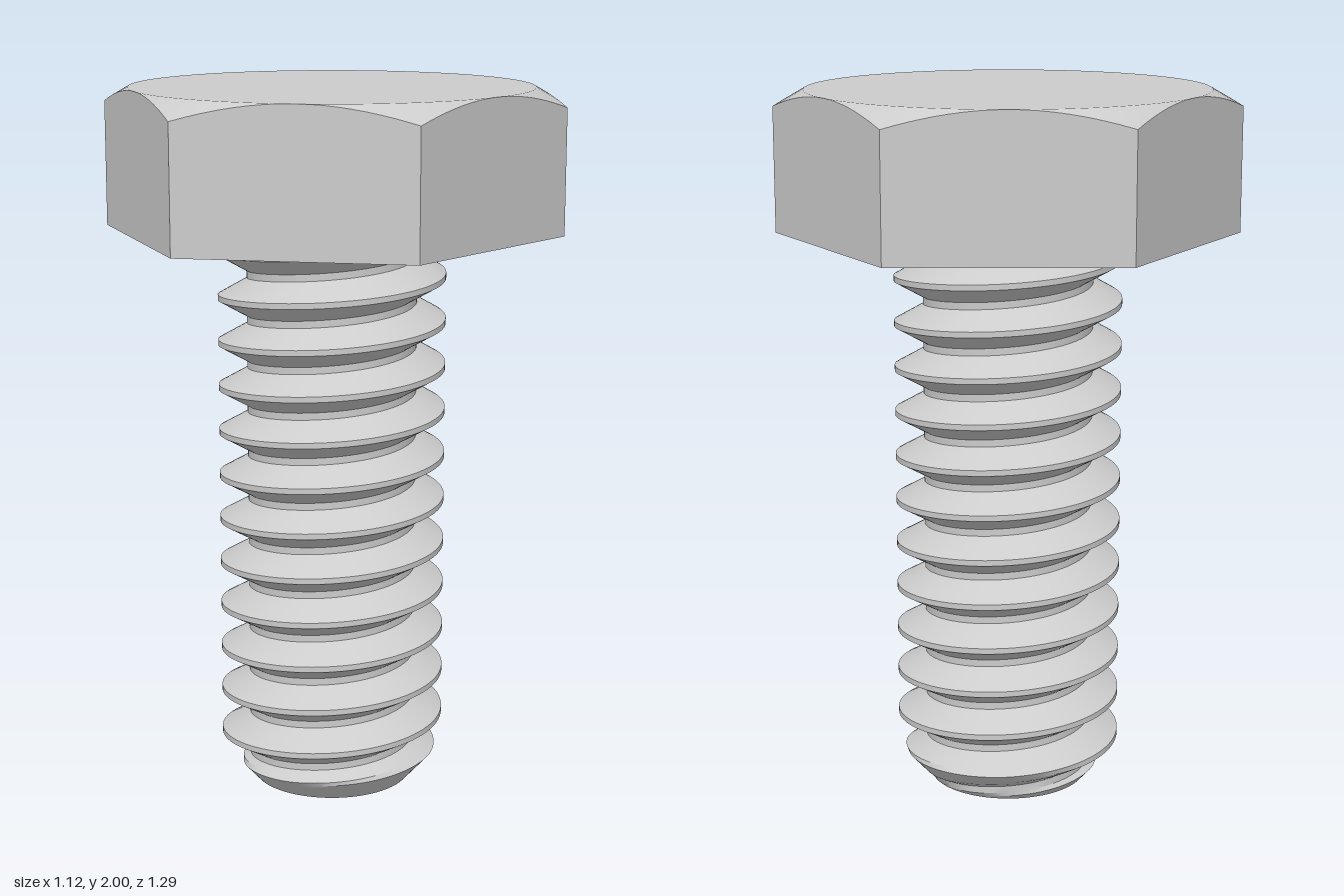
import * as THREE from 'three';
import { toCreasedNormals } from 'three/addons/utils/BufferGeometryUtils.js';

const HEAD_BASE = 1.6, TOP = 2, FLAT = 0.56;          // head sizes
const CREST = 0.32, ROOT = 0.239, PITCH = 0.128;      // thread sizes
const CREST_HALF = 0.008, ROOT_HALF = 0.01;           // half widths of the flat lands
const FLANK = PITCH / 2 - CREST_HALF - ROOT_HALF;     // height of one sloping flank
const PHASE = 0.12;                                   // height of the lowest crest at angle 0
const TIP = 0.225;                                    // radius of the flat shank end

// Skins a closed band around y: point(a, row) gives [radius, height].
function skin(columns, rows, point) {
  const positions = [];
  const at = (i, j) => {
    const a = (i / columns) * Math.PI * 2;
    const [r, y] = point(a, j);
    return new THREE.Vector3(-Math.cos(a) * r, y, Math.sin(a) * r);
  };
  const tri = new THREE.Triangle();
  const add = (p, q, s) => {
    tri.set(p, q, s);
    if (tri.getArea() > 1e-8) positions.push(...p, ...q, ...s);
  };
  for (let i = 0; i < columns; i++) {
    for (let j = 0; j < rows - 1; j++) {
      const p = at(i, j), q = at(i + 1, j), s = at(i + 1, j + 1), t = at(i, j + 1);
      add(p, q, s);
      add(p, s, t);
    }
  }
  const geometry = new THREE.BufferGeometry();
  geometry.setAttribute('position', new THREE.Float32BufferAttribute(positions, 3));
  return toCreasedNormals(geometry, 0.4);
}

// Hexagonal head whose top corners are cut by a 30 degree cone.
function headGeometry() {
  const sector = Math.PI / 3;
  return skin(96, 5, (a, row) => {
    const off = a - Math.round(a / sector) * sector;
    const r = FLAT / Math.cos(off);
    const rim = TOP - (r - FLAT) * Math.tan(Math.PI / 6);
    return [[0, HEAD_BASE], [r, HEAD_BASE], [r, rim], [FLAT, TOP], [0, TOP]][row];
  });
}

// Radius of the right-handed thread, with the tip of the shank chamfered.
function threadRadius(a, y) {
  const turn = (y - PHASE) / PITCH - a / (Math.PI * 2);
  const d = Math.abs(turn - Math.round(turn)) * PITCH;
  const k = THREE.MathUtils.clamp((d - CREST_HALF) / FLANK, 0, 1);
  return Math.min(THREE.MathUtils.lerp(CREST, ROOT, k), TIP + 0.9 * y);
}

// Rows follow the helix so that crest and root edges stay crisp.
function threadGeometry() {
  const marks = [];
  for (let k = -2; k <= 12; k++) {
    const base = PHASE + k * PITCH;
    marks.push(base - CREST_HALF);
    for (let s = 0; s <= 4; s++) marks.push(base + CREST_HALF + (FLANK * s) / 4);
    for (let s = 0; s < 4; s++) marks.push(base + PITCH / 2 + ROOT_HALF + (FLANK * s) / 4);
  }
  return skin(96, marks.length, (a, row) => {
    const h = marks[row] + (PITCH * a) / (Math.PI * 2);
    const y = THREE.MathUtils.clamp(h, 0, HEAD_BASE);
    return [threadRadius(a, y), y];
  });
}

export function createModel() {
  const group = new THREE.Group();
  group.name = 'hexBolt';
  const steel = new THREE.MeshStandardMaterial({ color: 0xcccccc });
  steel.name = 'steel grey';

  const add = (name, geometry) => {
    const mesh = new THREE.Mesh(geometry, steel);
    mesh.name = name;
    group.add(mesh);
    return mesh;
  };

  add('head', headGeometry());
  add('threadedShank', threadGeometry());

  // Flat end of the shank, facing down.
  add('shankEnd', new THREE.CircleGeometry(TIP, 96)).rotation.x = Math.PI / 2;

  return group;
}
